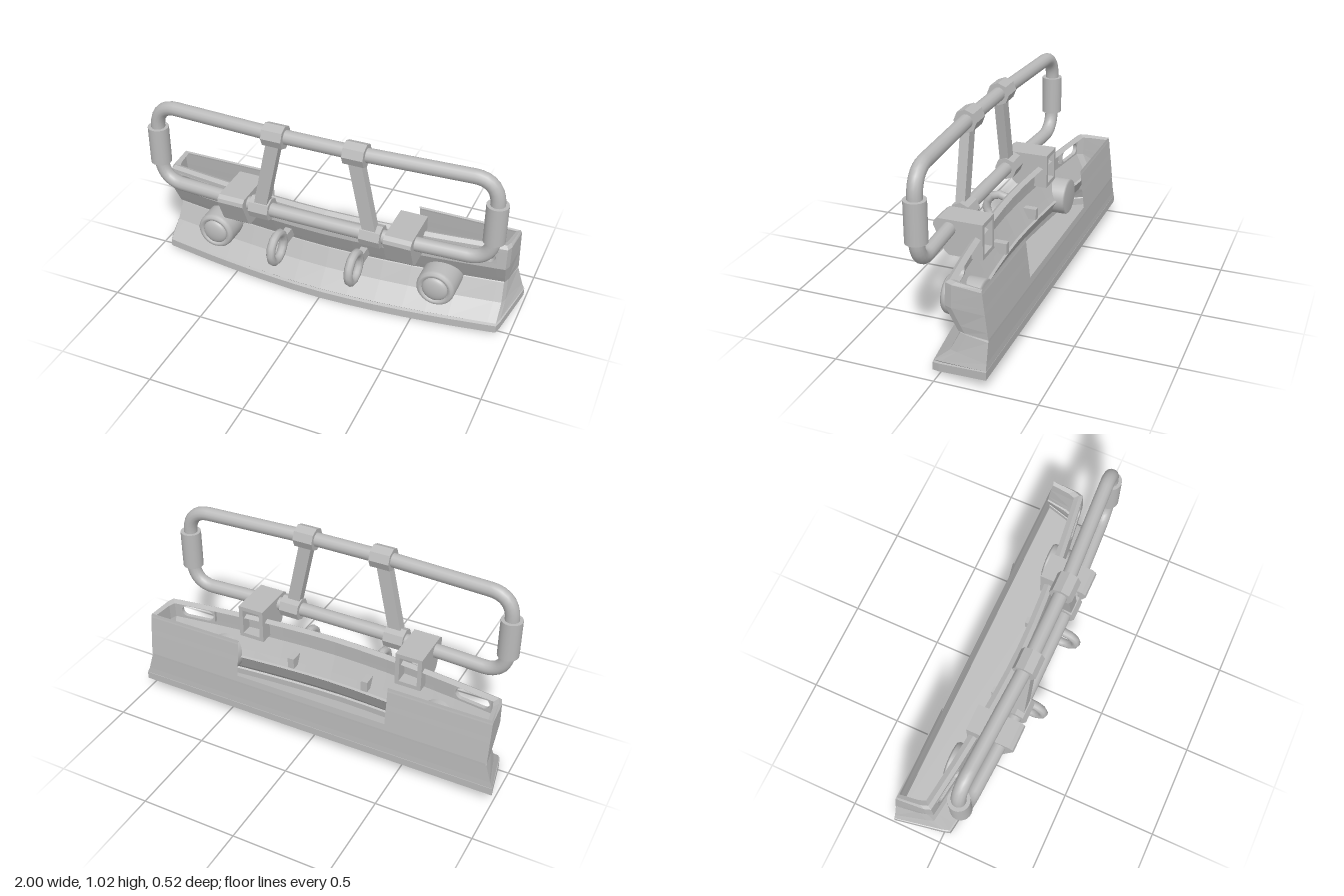
import * as THREE from 'three';

const metal = new THREE.MeshStandardMaterial({ color: 0xbababa });
metal.name = 'greyMetal';
const sheet = new THREE.MeshStandardMaterial({ color: 0xbababa, side: THREE.DoubleSide });
sheet.name = 'greySheet';

// facet normals for the low-sided parts
function flat(geo) {
  const g = geo.index ? geo.toNonIndexed() : geo;
  g.computeVertexNormals();
  return g;
}

// bow of the front in plan
const plan = (x) => -0.08 * Math.pow(Math.abs(x) / 0.93, 1.7);

// bumper rows from top to bottom: y, centre z, corner x, rear x, rear z, tilt towards the rear
const ROWS = [
  [0.488, -0.005, 0.905, 0.93, -0.215, -0.04],
  [0.500, 0.020, 0.925, 0.95, -0.22, -0.05],
  [0.485, 0.040, 0.935, 0.957, -0.222, -0.04],
  [0.465, 0.041, 0.935, 0.957, -0.224, 0],
  [0.395, 0.044, 0.935, 0.957, -0.232, 0],
  [0.365, 0.045, 0.935, 0.957, -0.236, 0],
  [0.280, 0.003, 0.93, 0.957, -0.246, 0],
  [0.245, -0.015, 0.928, 0.957, -0.25, 0],
  [0.240, -0.028, 0.92, 0.95, -0.25, 0],
  [0.233, -0.022, 0.922, 0.957, -0.25, 0],
  [0.140, 0.025, 0.93, 0.985, -0.252, 0],
  [0.056, 0.108, 0.932, 0.998, -0.254, 0.15],
  [0.048, 0.100, 0.928, 0.994, -0.254, 0.17],
  [0.041, 0.114, 0.935, 1.0, -0.255, 0.176],
  [0.000, 0.115, 0.935, 1.0, -0.255, 0.176],
];
const HALF = [0.89, 0.69, 0.57, 0.45, 0.3, 0.15];
const FRONT = [...HALF.map((x) => -x), 0, ...HALF.slice().reverse()];

// one plan loop: rear, rounded corner, front points, corner, rear
function loop([y, zc, xc, xr, zr, tilt]) {
  const c = zc + plan(xc);
  const pts = [[-xr, zr], [-xc - 0.012, c - 0.035], [-xc, c]];
  FRONT.forEach((x) => pts.push([x, zc + plan(x)]));
  pts.push([xc, c], [xc + 0.012, c - 0.035], [xr, zr]);
  return pts.map(([x, z]) => [x, y + tilt * (zc - z), z]);
}

function bumperShell() {
  const v = [];
  const quad = (a, b, c, d) => v.push(...a, ...b, ...c, ...a, ...c, ...d);
  const loops = ROWS.map(loop);
  const n = loops[0].length;
  for (let r = 0; r < loops.length - 1; r++) {
    const up = loops[r], lo = loops[r + 1];
    for (let j = 0; j < n - 1; j++) {
      // openings for the two slots
      if (r === 3 && (j === 3 || j === n - 5)) continue;
      quad(lo[j], lo[j + 1], up[j + 1], up[j]);
    }
    // rear wall with a wide notch in the middle
    const at = (row, x) => [x, row[0][1], row[0][2]];
    const edges = [[up[0], at(up, -0.42), lo[0], at(lo, -0.42)],
      [at(up, 0.42), up[n - 1], at(lo, 0.42), lo[n - 1]]];
    if (r >= 6) edges.push([at(up, -0.42), at(up, 0.42), at(lo, -0.42), at(lo, 0.42)]);
    edges.forEach(([a, b, c, d]) => quad(a, b, d, c));
  }
  // floor
  const base = loops[loops.length - 1];
  for (let j = 0; j < (n - 1) / 2; j++) quad(base[j], base[n - 1 - j], base[n - 2 - j], base[j + 1]);
  const g = new THREE.BufferGeometry();
  g.setAttribute('position', new THREE.Float32BufferAttribute(v, 3));
  g.computeVertexNormals();
  return g;
}

// plate with a rounded slot
function slotFrame(w, h) {
  const s = new THREE.Shape();
  s.moveTo(-w / 2, -h / 2).lineTo(w / 2, -h / 2).lineTo(w / 2, h / 2).lineTo(-w / 2, h / 2).closePath();
  const r = h / 2 - 0.003, k = w / 2 - 0.008 - r;
  const hole = new THREE.Path();
  hole.absarc(k, 0, r, -Math.PI / 2, Math.PI / 2, false);
  hole.absarc(-k, 0, r, Math.PI / 2, Math.PI * 1.5, false);
  hole.closePath();
  s.holes.push(hole);
  return new THREE.ExtrudeGeometry(s, { depth: 0.022, bevelEnabled: false, curveSegments: 8 }).translate(0, 0, -0.021);
}

// closed guard hoop, bowed backwards at the sides
function hoopCurve() {
  const top = 0.965, bot = 0.517, X = 0.895, zm = 0.145, ze = 0.11;
  const V = (x, y, z) => new THREE.Vector3(x, y, z);
  const path = new THREE.CurvePath();
  const line = (a, b) => path.add(new THREE.LineCurve3(a, b));
  const bend = (a, b, c, d) => path.add(new THREE.CubicBezierCurve3(a, b, c, d));
  const corner = (sx, y, dir) => [V(sx * 0.775, y, ze + 0.006), V(sx * 0.855, y, ze + 0.001),
    V(sx * X, y + dir * 0.05, ze), V(sx * X, y + dir * 0.13, ze)];
  const tr = corner(1, top, -1), br = corner(1, bot, 1), bl = corner(-1, bot, 1), tl = corner(-1, top, -1);
  line(V(0, top, zm), V(0.22, top, zm));
  line(V(0.22, top, zm), tr[0]);
  bend(...tr);
  line(tr[3], br[3]);
  bend(...br.slice().reverse());
  line(br[0], V(0.22, bot, zm));
  line(V(0.22, bot, zm), V(-0.22, bot, zm));
  line(V(-0.22, bot, zm), bl[0]);
  bend(...bl);
  line(bl[3], tl[3]);
  bend(...tl.slice().reverse());
  line(tl[0], V(-0.22, top, zm));
  line(V(-0.22, top, zm), V(0, top, zm));
  return path;
}

// side outline (z, y) extruded along x and centred
function sideExtrude(pts, width) {
  const s = new THREE.Shape(pts.map(([z, y]) => new THREE.Vector2(-z, y)));
  return new THREE.ExtrudeGeometry(s, { depth: width, bevelEnabled: false })
    .translate(0, 0, -width / 2).rotateY(Math.PI / 2);
}

export function createModel() {
  const model = new THREE.Group();
  model.name = 'bumper';
  const add = (name, geo, x = 0, y = 0, z = 0, mat = metal, parent = model) => {
    const m = new THREE.Mesh(geo, mat);
    m.name = name;
    m.position.set(x, y, z);
    parent.add(m);
    return m;
  };

  add('bumperShell', bumperShell(), 0, 0, 0, sheet);
  add('guardHoop', new THREE.TubeGeometry(hoopCurve(), 160, 0.036, 14, true));

  // shared geometries
  const sleeve = new THREE.CylinderGeometry(0.054, 0.054, 0.205, 20);
  const clamp = flat(new THREE.CylinderGeometry(0.06, 0.06, 0.107, 8).rotateZ(Math.PI / 2));
  const ring = new THREE.TorusGeometry(0.077, 0.023, 10, 12).rotateY(Math.PI / 2);
  const ear = new THREE.BoxGeometry(0.036, 0.06, 0.15);
  const outline = [[-0.045, 0.38], [0.13, 0.38], [0.153, 0.4], [0.21, 0.53], [0.205, 0.55], [0.185, 0.565], [-0.045, 0.565]];
  const inner = [[-0.045, 0.543], [0.18, 0.543], [0.188, 0.53], [0.133, 0.405], [0.12, 0.402], [-0.045, 0.402]];
  const cheek = sideExtrude(outline, 0.022);
  const channel = sideExtrude([...outline, ...inner], 0.1);
  const lampBody = new THREE.LatheGeometry([[0, -0.1], [0.094, -0.1], [0.1, -0.09], [0.1, 0.07], [0.097, 0.085],
    [0.088, 0.096], [0.075, 0.096], [0.067, 0.085]].map((p) => new THREE.Vector2(...p)), 28).rotateX(Math.PI / 2);
  const lens = new THREE.SphereGeometry(0.068, 24, 8, 0, Math.PI * 2, 0, Math.PI / 2).scale(1, 0.38, 1).rotateX(Math.PI / 2);
  const drop = plan(0.69) - plan(0.89);
  const slot = slotFrame(Math.hypot(0.2, drop), 0.07);

  for (const s of [1, -1]) {
    const side = s > 0 ? 'left' : 'right';
    add(side + 'Sleeve', sleeve, s * 0.895, 0.733, 0.11);
    add(side + 'UpperClamp', clamp, s * 0.21, 0.963, 0.147);
    add(side + 'LowerClamp', clamp, s * 0.3, 0.517, 0.142);

    // slanted strut between the clamps
    const strut = add(side + 'Strut', new THREE.BoxGeometry(0.068, 0.4, 0.05), s * 0.253, 0.742, 0.154);
    strut.rotation.z = s * Math.atan2(0.085, 0.4);

    // hollow bracket, open to the rear
    const bracket = new THREE.Group();
    bracket.name = side + 'Bracket';
    bracket.position.x = s * 0.449;
    add('channel', channel, 0, 0, 0, metal, bracket);
    add('outerCheek', cheek, s * 0.06, 0, 0, metal, bracket);
    add('innerCheek', cheek, -s * 0.06, 0, 0, metal, bracket);
    model.add(bracket);

    // tow ring and its mount
    add(side + 'TowRing', ring, s * 0.213, 0.3, 0.163);
    add(side + 'TowMount', ear, s * 0.213, 0.3, 0.025);

    // fog lamp
    add(side + 'LampBody', lampBody, s * 0.618, 0.235, 0, sheet);
    add(side + 'LampLens', lens, s * 0.618, 0.235, 0.085);

    // slot surround, turned to follow the bow
    const frame = add(side + 'SlotFrame', slot, s * 0.79, 0.43, 0.0425 + (plan(0.69) + plan(0.89)) / 2);
    frame.rotation.y = s * Math.atan2(drop, 0.2);
  }
  return model;
}
